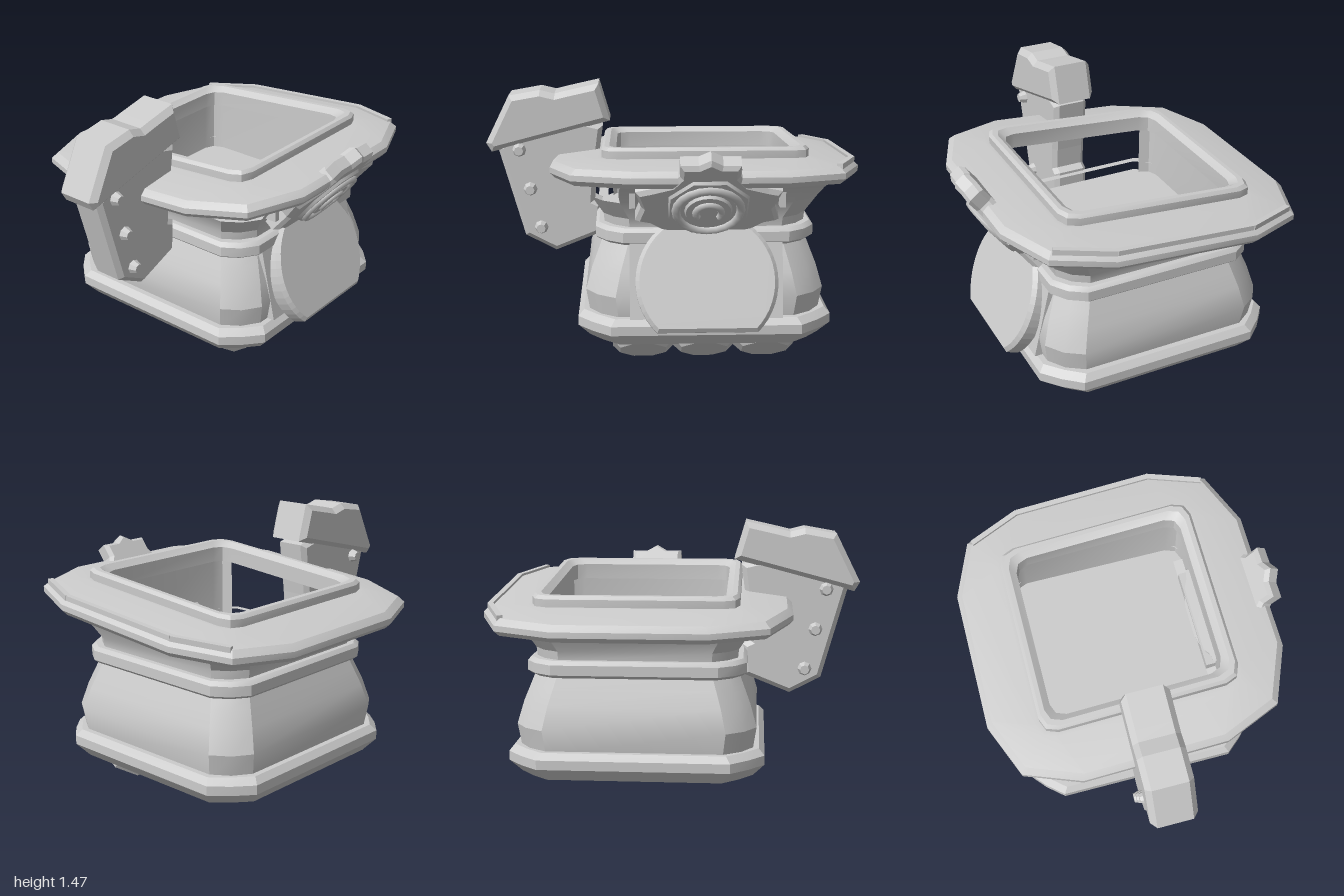
import * as THREE from 'three';
import { toCreasedNormals } from 'three/addons/utils/BufferGeometryUtils.js';

const CX = 0.18, CZ = -0.04, TILT = 0.08;
const metal = new THREE.MeshStandardMaterial({ color: 0xcccccc });
metal.name = 'plain grey';

// Twelve-point square with cut corners; a and b set how far the corners are cut
function ring([h, y, a = 0.75, b = 0.9, tilt = 0]) {
  const pts = [];
  for (let q = 0; q < 4; q++) {
    for (const [u, v] of [[1, a], [b, b], [a, 1]]) {
      let x = u * h, z = v * h;
      for (let k = 0; k < q; k++) [x, z] = [-z, x];
      pts.push([CX + x, y + tilt * TILT * z, CZ + z]);
    }
  }
  return pts;
}

// Skin between rings, optionally leaving out some sides
function loft(rows, skipSides = [], crease = 0.45) {
  const rings = rows.map(ring), pos = [];
  for (let i = 0; i + 1 < rings.length; i++) {
    for (let j = 0; j < 12; j++) {
      if (skipSides.includes(j)) continue;
      const k = (j + 1) % 12;
      const a = rings[i][j], b = rings[i][k], c = rings[i + 1][j], d = rings[i + 1][k];
      pos.push(...a, ...c, ...b, ...b, ...c, ...d);
    }
  }
  const geo = new THREE.BufferGeometry();
  geo.setAttribute('position', new THREE.Float32BufferAttribute(pos, 3));
  geo.computeVertexNormals();
  return toCreasedNormals(geo, crease);
}

// Bevelled plate centred on z = 0
function plate(points, thickness, bevel) {
  const shape = new THREE.Shape(points.map(([x, y]) => new THREE.Vector2(x, y)));
  const depth = thickness - 2 * bevel;
  return new THREE.ExtrudeGeometry(shape, {
    depth, bevelEnabled: true, bevelThickness: bevel, bevelSize: bevel,
    bevelOffset: -bevel, bevelSegments: 1,
  }).translate(0, 0, -depth / 2);
}

export function createModel() {
  const model = new THREE.Group();
  const add = (name, geo, pos = [0, 0, 0], rot = [0, 0, 0], parent = model) => {
    const m = new THREE.Mesh(geo, metal);
    m.name = name;
    m.position.set(...pos);
    m.rotation.set(...rot);
    parent.add(m);
    return m;
  };

  // Base moulding and lower body
  const base = [0.74, 0.88];
  add('baseMoulding', loft([
    [0, 0.16, ...base], [0.57, 0.16, ...base], [0.615, 0.165, ...base], [0.675, 0.235, ...base],
    [0.675, 0.285, ...base], [0.645, 0.318, ...base], [0.60, 0.318, ...base],
  ]));
  add('body', loft([
    [0.612, 0.30], [0.632, 0.43], [0.598, 0.55], [0.563, 0.64], [0.54, 0.70],
  ]));
  add('waistBand', loft([
    [0.53, 0.695], [0.558, 0.695], [0.577, 0.712], [0.577, 0.765], [0.558, 0.785], [0.52, 0.785],
  ]));

  // Flared neck, with the upper part open on the handle side
  add('neckLower', loft([[0.53, 0.78], [0.535, 0.83], [0.595, 0.93]]));
  add('neckUpper', loft([
    [0.595, 0.93], [0.63, 0.96, 0.72, 0.9, 0.35], [0.68, 0.985, 0.66, 0.89, 0.7], [0.745, 1.01, 0.55, 0.87, 1],
  ], [3, 4, 5]));

  // Straight inner wall, open towards the handle, and the floor inside
  const brim = [0.48, 0.85, 1], rim = [0.84, 0.955, 1];
  add('innerWall', loft([[0.495, 1.07, ...rim], [0.495, 0.72, 0.84, 0.955]], [5]));
  add('innerFloor', loft([[0.54, 0.72], [0, 0.72]]));

  // Tilted brim with a raised rim around the opening
  add('brim', loft([
    [0.51, 1.05, ...rim], [0.735, 1.01, ...brim], [0.745, 0.988, ...brim], [0.79, 0.988, ...brim],
    [0.815, 1.015, ...brim], [0.815, 1.045, ...brim], [0.785, 1.075, ...brim], [0.56, 1.105, ...rim],
    [0.54, 1.105, ...rim], [0.54, 1.145, ...rim], [0.525, 1.162, ...rim], [0.50, 1.162, ...rim],
    [0.465, 1.135, ...rim], [0.465, 1.05, ...rim], [0.51, 1.05, ...rim],
  ]));
  add('brimEdgeStrip', new THREE.BoxGeometry(0.03, 0.05, 0.76), [CX + 0.78, 1.066, CZ], [-TILT, 0, 0]);
  for (const s of [-1, 1]) {
    add('brimCornerStrip', new THREE.BoxGeometry(0.03, 0.05, 0.31),
      [CX + 0.725, 1.066 + TILT * s * 0.52, CZ + s * 0.52], [-TILT, -s * 0.38, 0]);
  }

  // Front shield: a disc cut flat at top and bottom
  add('shieldBacking', new THREE.BoxGeometry(0.8, 0.46, 0.12), [CX, 0.53, 0.51], [-0.22, 0, 0]);
  const disc = [];
  const arc = (from, to) => {
    for (let i = 0; i <= 16; i++) {
      const t = from + (to - from) * i / 16;
      disc.push([0.37 * Math.cos(t), 0.37 * Math.sin(t)]);
    }
  };
  arc(-0.79, 1.05);
  arc(Math.PI - 1.05, Math.PI + 0.79);
  add('shield', plate(disc, 0.11, 0.02), [CX, 0.515, 0.595], [-0.38, 0, 0]);

  // Scalloped emblem leaning out above the shield
  const emblem = new THREE.Group();
  emblem.name = 'emblem';
  emblem.position.set(CX, 0.95, 0.645);
  emblem.rotation.x = 0.66;
  model.add(emblem);
  const half = [[0.06, 0.3], [0.15, 0.3], [0.15, 0.22], [0.19, 0.16], [0.3, 0.12], [0.37, 0.1],
    [0.34, -0.02], [0.37, -0.13], [0.3, -0.15], [0.24, -0.2], [0.12, -0.24]];
  const outline = [[0, 0.34], ...half, ...half.map(([x, y]) => [-x, y]).reverse()].reverse();
  add('emblemPlate', plate(outline, 0.1, 0.02), [0, 0, -0.025], [0, 0, 0], emblem);
  add('emblemCollar', new THREE.CylinderGeometry(0.21, 0.23, 0.03, 8),
    [0, 0, 0.025], [Math.PI / 2, Math.PI / 8, 0], emblem);
  add('emblemRing', new THREE.TorusGeometry(0.165, 0.022, 6, 20), [0, -0.01, 0.04], [0, 0, 0], emblem);
  add('emblemDisc', new THREE.CylinderGeometry(0.115, 0.13, 0.03, 20), [0, -0.01, 0.04],
    [Math.PI / 2, 0, 0], emblem);
  add('emblemArch', new THREE.TorusGeometry(0.065, 0.018, 6, 14, Math.PI * 1.4), [0, -0.01, 0.055],
    [0, 0, -Math.PI * 0.2], emblem);
  for (const s of [-1, 1]) {
    add('emblemPost', new THREE.BoxGeometry(0.03, 0.14, 0.08), [CX + s * 0.385, 0.985, 0.57]);
  }

  // Ledge and scalloped backing behind the emblem, seen inside the opening
  add('innerLedge', new THREE.BoxGeometry(0.58, 0.06, 0.06), [CX, 0.77, 0.43]);
  const backing = add('emblemBacking', plate(outline, 0.05, 0.01), [CX, 0.90, 0.52], [0.66, 0, 0]);
  backing.scale.set(0.8, 0.8, 1);

  // Three bevelled eight-sided feet, tilted down and forward
  const footProfile = [[0, -0.12], [0.178, -0.12], [0.178, 0], [0.133, 0.044], [0, 0.044]];
  const footGeo = toCreasedNormals(
    new THREE.LatheGeometry(footProfile.map(p => new THREE.Vector2(...p)), 8).rotateY(Math.PI / 8), 0.2);
  for (const x of [-0.33, 0, 0.33]) {
    add('foot', footGeo, [CX + x, 0.11, 0.405], [Math.PI - 0.6435, 0, 0]);
  }

  // Side handle: riveted plate and thick angular grip
  add('handlePlate', plate([[-0.94, 1.13], [-0.80, 0.62], [-0.63, 0.53], [-0.38, 0.63],
    [-0.37, 0.8], [-0.41, 0.82], [-0.40, 0.94], [-0.36, 1.24], [-0.6, 1.3]], 0.2, 0.025), [0, 0, CZ]);
  add('handleGrip', plate([[-1, 1.15], [-0.97, 1.10], [-0.32, 1.27], [-0.38, 1.475],
    [-0.56, 1.435], [-0.62, 1.42], [-0.70, 1.44], [-0.87, 1.41]], 0.25, 0.03), [0, 0, CZ]);
  for (const [x, y] of [[-0.82, 1.11], [-0.765, 0.89], [-0.71, 0.67]]) {
    for (const s of [-1, 1]) {
      const bolt = new THREE.CylinderGeometry(0.025, 0.04, 0.045, 8);
      add('handleBolt', toCreasedNormals(bolt, 0.3), [x, y, CZ + s * 0.118], [s * Math.PI / 2, 0, 0]);
    }
  }
  return model;
}
